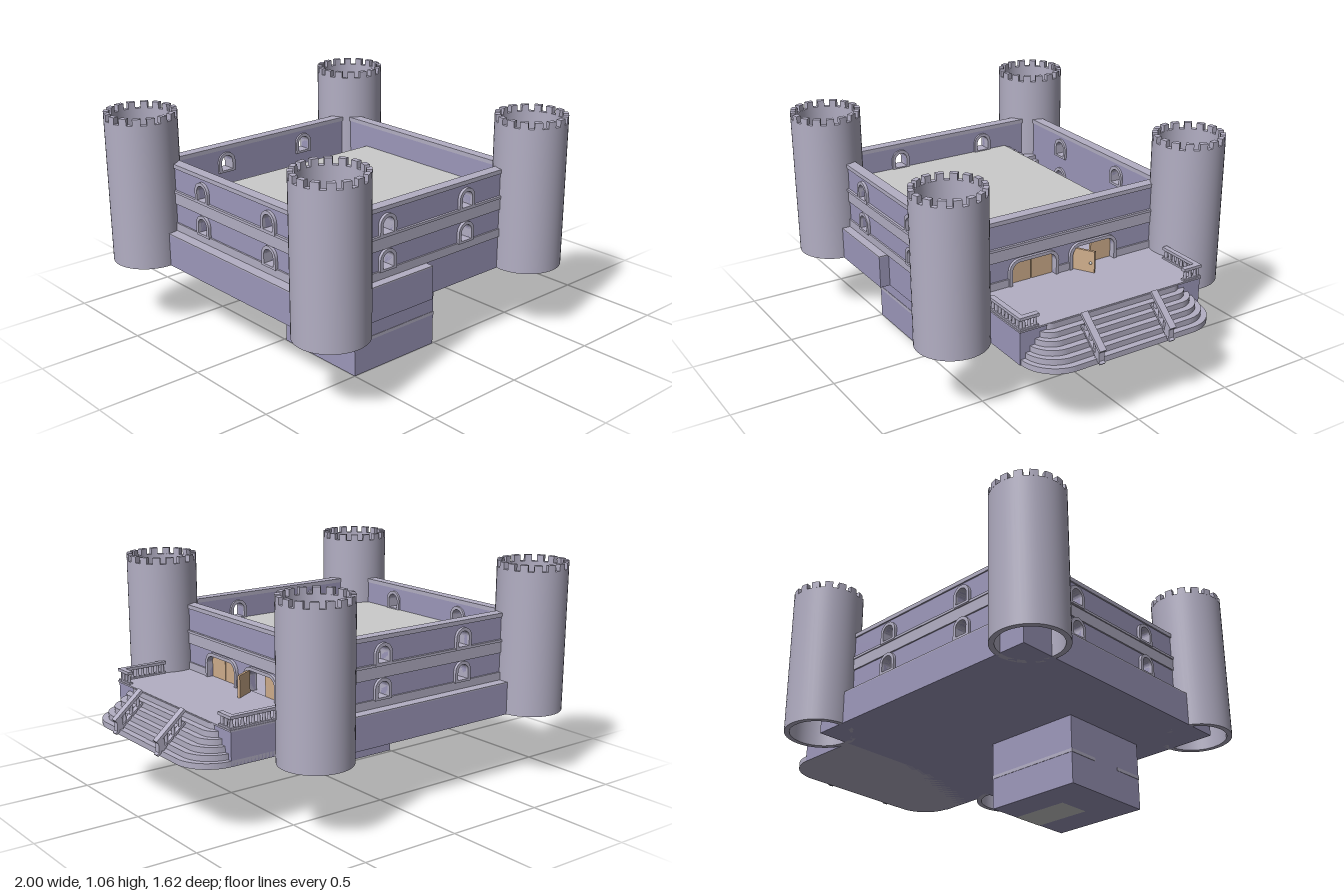
import * as THREE from 'three';

const mat = (color) => new THREE.MeshStandardMaterial({ color, side: THREE.DoubleSide });
const stone = mat(0xb3afc4), wallMat = mat(0x9d98bb), grey = mat(0xcccccc), wood = mat(0xd0ae8c);

function add(parent, name, geo, material, x = 0, y = 0, z = 0) {
  const m = new THREE.Mesh(geo, material);
  m.name = name;
  m.position.set(x, y, z);
  parent.add(m);
  return m;
}

// Box given by its limits on each axis
function block(parent, name, material, x0, x1, y0, y1, z0, z1) {
  return add(parent, name, new THREE.BoxGeometry(x1 - x0, y1 - y0, z1 - z0), material,
    (x0 + x1) / 2, (y0 + y1) / 2, (z0 + z1) / 2);
}

const extrude = (shape, depth) =>
  new THREE.ExtrudeGeometry(shape, { depth, bevelEnabled: false, curveSegments: 10 });

// Opening outline with rounded upper corners
function arch(cls, cx, y, w, h, r) {
  const p = new cls(), a = cx - w / 2, b = cx + w / 2;
  p.moveTo(a, y);
  p.lineTo(b, y);
  p.lineTo(b, y + h - r);
  p.absarc(b - r, y + h - r, r, 0, Math.PI / 2, false);
  p.absarc(a + r, y + h - r, r, Math.PI / 2, Math.PI, false);
  p.lineTo(a, y);
  return p;
}

// Hollow round tower with crenellations
function tower(parent, x, z) {
  const g = new THREE.Group(), R = 0.17, r = 0.145, n = 16;
  g.name = 'tower';
  g.position.set(x, 0, z);
  const profile = [[r, 0.33], [R, 0.33], [R, 0.33], [R, 1.03], [R, 1.03], [r, 1.03], [r, 1.03], [r, 0.33]];
  for (let i = 0; i < 4; i++) {
    const pts = profile.slice(i * 2, i * 2 + 2).map((p) => new THREE.Vector2(...p));
    add(g, 'towerShell', new THREE.LatheGeometry(pts, 48), stone);
  }
  for (let i = 0; i < n; i++) {
    const a = (i / n) * Math.PI * 2, b = a + (Math.PI / n) * 1.15, s = new THREE.Shape();
    s.absarc(0, 0, R, a, b, false);
    s.absarc(0, 0, r, b, a, true);
    add(g, 'merlon', extrude(s, 0.032).rotateX(-Math.PI / 2), stone, 0, 1.029, 0);
  }
  parent.add(g);
}

// Wall facing local +z with its outer face at z = 0; openings are [x, y, w, h, r]
function wall(parent, name, half, openings, lowBands) {
  const g = new THREE.Group(), s = new THREE.Shape();
  g.name = name;
  s.moveTo(-half, 0.48);
  s.lineTo(half, 0.48);
  s.lineTo(half, 0.81);
  s.lineTo(-half, 0.81);
  s.closePath();
  for (const [x, y, w, h, r] of openings) {
    const f = 0.016;
    s.holes.push(arch(THREE.Path, x, y, w, h, r));
    const frame = arch(THREE.Shape, x, y - (y > 0.5 ? 0.01 : 0), w + 2 * f, h + f + (y > 0.5 ? 0.01 : 0), r + f);
    frame.holes.push(arch(THREE.Path, x, y + 0.001, w, h - 0.001, r));
    add(g, 'openingFrame', extrude(frame, 0.067), stone, 0, 0, -0.053);
  }
  add(g, 'wallPanel', extrude(s, 0.043), wallMat, 0, 0, -0.043);
  for (const [a, b] of lowBands) block(g, 'plinthBand', stone, a, b, 0.49, 0.53, -0.02, 0.008);
  block(g, 'middleBand', stone, -half, half, 0.625, 0.68, -0.04, 0.007);
  block(g, 'sillBand', stone, -half, half, 0.68, 0.692, -0.04, 0.012);
  block(g, 'copingBand', stone, -half, half, 0.8, 0.82, -0.047, 0.007);
  parent.add(g);
  return g;
}

// Balustrade between two rail ends
function railing(parent, p, q, n, height, width) {
  const g = new THREE.Group(), a = new THREE.Vector3(...p), b = new THREE.Vector3(...q);
  g.name = 'railing';
  const bar = (drop, thick, w) => {
    const m = add(g, 'rail', new THREE.BoxGeometry(w, thick, a.distanceTo(b)), stone);
    m.position.copy(a).lerp(b, 0.5);
    m.position.y -= drop;
    m.lookAt(b.x, b.y - drop, b.z);
  };
  bar(0, 0.014, width);
  bar(height - 0.005, 0.01, width * 0.8);
  for (let i = 0; i < n; i++) {
    const c = a.clone().lerp(b, (i + 0.5) / n);
    add(g, 'baluster', new THREE.CylinderGeometry(0.006, 0.009, height, 8), stone, c.x, c.y - height / 2, c.z);
  }
  parent.add(g);
}

// Step slab with rounded outer corners
function tier(parent, name, x1, z0, z1, r, y0, y1) {
  const s = new THREE.Shape(), x0 = 0.4;
  s.moveTo(x0, -z1);
  s.lineTo(x1 - r, -z1);
  s.absarc(x1 - r, -z1 + r, r, -Math.PI / 2, 0, false);
  s.absarc(x1 - r, -z0 - r, r, 0, Math.PI / 2, false);
  s.lineTo(x0, -z0);
  s.closePath();
  add(parent, name, extrude(s, y1 - y0).rotateX(-Math.PI / 2), stone, 0, y0, 0);
}

export function createModel() {
  const root = new THREE.Group();
  root.name = 'castle';

  // Foundation
  const base = new THREE.Group();
  base.name = 'foundation';
  root.add(base);
  block(base, 'foundationBlock', wallMat, -0.82, 0.48, 0.33, 0.485, -0.647, 0.605);
  block(base, 'foundationStep', wallMat, -0.82, -0.175, 0.33, 0.485, 0.6, 0.655);
  block(base, 'foundationTop', stone, -0.82, 0.48, 0.485, 0.491, -0.647, 0.605);
  block(base, 'foundationStepTop', stone, -0.82, -0.175, 0.485, 0.491, 0.605, 0.655);

  // Cellar with a recessed stair on its left side
  const cellar = new THREE.Group();
  cellar.name = 'cellar';
  root.add(cellar);
  for (const [z0, z1] of [[0.015, 0.175], [0.34, 0.5]]) {
    block(cellar, 'cellarSide', wallMat, -0.5, -0.01, 0, 0.33, z0, z1);
    block(cellar, 'cellarStripe', stone, -0.502, -0.008, 0.15, 0.166, z0 - 0.002, z1 + 0.002);
  }
  block(cellar, 'cellarBack', wallMat, -0.5, -0.3, 0, 0.33, 0.175, 0.34);
  for (let i = 0; i < 14; i++)
    block(cellar, 'cellarStep', i % 14 ? stone : grey, -0.3, -0.008 - i * 0.02, i * 0.0236, (i + 1) * 0.0236, 0.175, 0.34);

  // Towers
  for (const [x, z] of [[-0.83, -0.62], [0.485, -0.642], [-0.75, 0.634], [0.473, 0.634]]) tower(root, x, z);

  // Walls with windows and doors
  const win = (xs) => xs.flatMap((x) => [0.535, 0.695].map((y) => [x, y, 0.064, 0.074, 0.032]));
  const hx = 0.59, hz = 0.597;
  const front = wall(root, 'frontWall', hx, win([-0.24, 0.245]), [[-hx, hx]]);
  front.position.set(-0.17, 0, 0.605);
  const back = wall(root, 'backWall', hx, win([-0.245, 0.24]), [[-hx, hx]]);
  back.position.set(-0.17, 0, -0.588);
  back.rotation.y = Math.PI;
  const side = wall(root, 'rightWall', hz, win([-0.25, 0.24]), [[-hz, hz]]);
  side.position.set(-0.76, 0, 0.01);
  side.rotation.y = -Math.PI / 2;
  const doors = [[-0.167, 0.49, 0.234, 0.113, 0.04], [0.16, 0.49, 0.234, 0.113, 0.04]];
  const entry = wall(root, 'entranceWall', hz, doors, [[-hz, -0.3], [-0.034, 0.027], [0.293, hz]]);
  entry.position.set(0.42, 0, 0.01);
  entry.rotation.y = Math.PI / 2;

  // Door leaves, one of them standing open
  for (const z of [0.119, 0.236, -0.21])
    block(root, 'doorLeaf', wood, 0.392, 0.404, 0.492, 0.602, z - 0.056, z + 0.056);
  const leaf = new THREE.Group();
  leaf.name = 'openDoor';
  leaf.position.set(0.42, 0, -0.045);
  leaf.rotation.y = 0.53;
  block(leaf, 'doorLeaf', wood, 0, 0.108, 0.492, 0.598, -0.006, 0.006);
  add(leaf, 'doorKnob', new THREE.SphereGeometry(0.007, 10, 8), grey, 0.09, 0.54, 0.009);
  root.add(leaf);

  // Upper floor, leaving the stairwell open at the back
  block(root, 'upperFloor', grey, -0.718, 0.378, 0.67, 0.69, -0.385, 0.563);

  // Inner staircase up to the floor
  for (let i = 0; i < 3; i++)
    block(root, 'innerStep', stone, -0.655 + i * 0.03, -0.625 + i * 0.03, 0.49, 0.6 - i * 0.035, -0.545, -0.485);
  block(root, 'innerLanding', stone, -0.717, -0.655, 0.49, 0.62, -0.545, -0.47);
  for (let i = 0; i < 3; i++)
    block(root, 'innerStep', stone, -0.717, -0.655, 0.49, 0.64 + i * 0.02, -0.47 + i * 0.03, -0.44 + i * 0.03);

  // Chairs and a round table with stools
  [[-0.4, -0.43, 0.4], [-0.34, -0.45, -0.5], [-0.37, -0.4, 1.0]].forEach(([x, z, a]) => {
    const c = new THREE.Group();
    c.name = 'chair';
    c.position.set(x, 0.49, z);
    c.rotation.y = a;
    block(c, 'chairSeat', stone, -0.02, 0.02, 0.02, 0.028, -0.02, 0.02);
    block(c, 'chairBack', stone, -0.02, 0.02, 0.02, 0.065, -0.022, -0.016);
    for (const sx of [-1, 1]) for (const sz of [-1, 1])
      block(c, 'chairLeg', stone, sx * 0.017 - 0.003, sx * 0.017 + 0.003, 0, 0.02, sz * 0.017 - 0.003, sz * 0.017 + 0.003);
    root.add(c);
  });
  add(root, 'table', new THREE.CylinderGeometry(0.025, 0.025, 0.04, 16), stone, -0.17, 0.51, -0.42);
  for (let i = 0; i < 6; i++)
    add(root, 'stool', new THREE.CylinderGeometry(0.014, 0.014, 0.026, 12), stone,
      -0.17 + 0.047 * Math.cos(i * 1.047), 0.503, -0.42 + 0.038 * Math.sin(i * 1.047));

  // Entrance terrace and its rounded steps
  const terrace = new THREE.Group();
  terrace.name = 'terrace';
  root.add(terrace);
  block(terrace, 'terraceBlock', wallMat, 0.4, 0.805, 0.33, 0.485, -0.478, 0.495);
  block(terrace, 'terraceTop', stone, 0.4, 0.81, 0.485, 0.493, -0.482, 0.499);
  for (let i = 0; i < 6; i++)
    tier(terrace, 'terraceStep', 0.972 - i * 0.031, -0.478 + i * 0.022, 0.49 - i * 0.022,
      0.17 - i * 0.024, 0.33 + i * 0.0268, 0.33 + (i + 1) * 0.0268);

  // Terrace balustrades, mirrored front and back
  for (const [z, d] of [[0.485, -1], [-0.468, 1]]) {
    railing(terrace, [0.56, 0.546, z], [0.808, 0.546, z], 9, 0.055, 0.026);
    railing(terrace, [0.795, 0.546, z], [0.795, 0.546, z + d * 0.085], 3, 0.055, 0.026);
  }
  // Stair handrails with end posts
  for (const z of [0.203, -0.172]) {
    railing(terrace, [0.85, 0.52, z], [0.992, 0.397, z], 4, 0.065, 0.034);
    block(terrace, 'handrailPost', stone, 0.955, 0.985, 0.345, 0.41, z - 0.014, z + 0.014);
  }
  return root;
}
